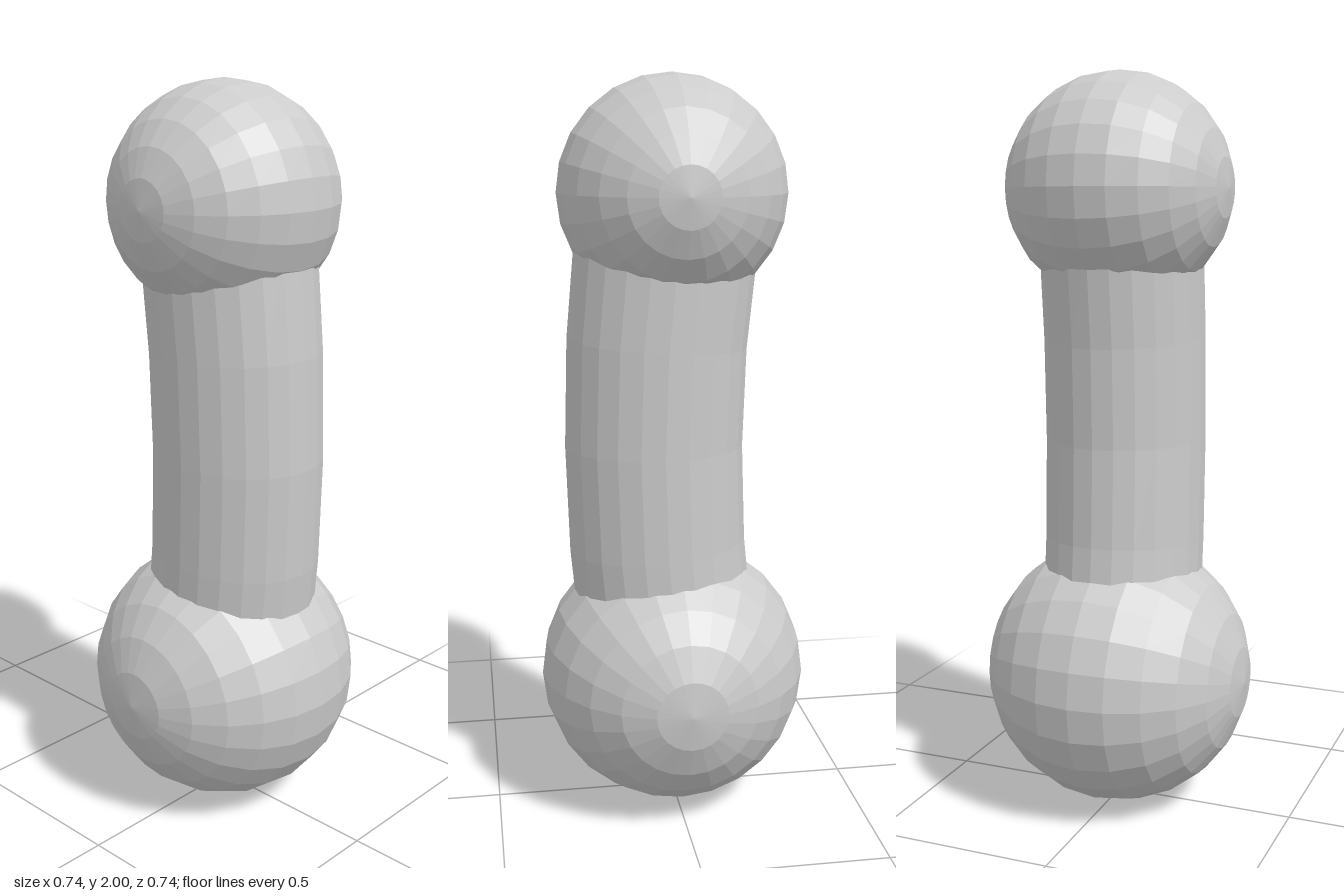
import * as THREE from 'three';

const material = new THREE.MeshStandardMaterial({ color: 0xcccccc, flatShading: true });

// Faceted ball with its poles on the x axis
function ball(name, radius, y) {
  const geometry = new THREE.SphereGeometry(radius, 24, 12);
  geometry.rotateZ(Math.PI / 2);
  const mesh = new THREE.Mesh(geometry, material);
  mesh.name = name;
  mesh.position.y = y;
  return mesh;
}

// Oval shaft, bowed gently towards the front
function bowedShaft(bottom, top, halfWidth, halfDepth, bow) {
  const geometry = new THREE.CylinderGeometry(1, 1, top - bottom, 24, 4);
  geometry.scale(halfWidth, 1, halfDepth);
  const pos = geometry.attributes.position;
  for (let i = 0; i < pos.count; i++) {
    const t = pos.getY(i) / 0.66;
    const z = pos.getZ(i);
    // shift each ring along the bow and tilt it square to the curve
    const slope = (-2 * bow * t) / 0.66;
    pos.setZ(i, z + bow * (1 - t * t));
    pos.setY(i, pos.getY(i) - z * slope);
  }
  geometry.computeVertexNormals();
  const mesh = new THREE.Mesh(geometry, material);
  mesh.name = 'shaft';
  mesh.position.y = (bottom + top) / 2;
  return mesh;
}

export function createModel() {
  const group = new THREE.Group();
  group.name = 'jointedLimb';
  group.add(
    ball('lowerBall', 0.368, 0.368),
    bowedShaft(0.46, 1.58, 0.217, 0.243, 0.05),
    ball('upperBall', 0.305, 1.695)
  );
  return group;
}
